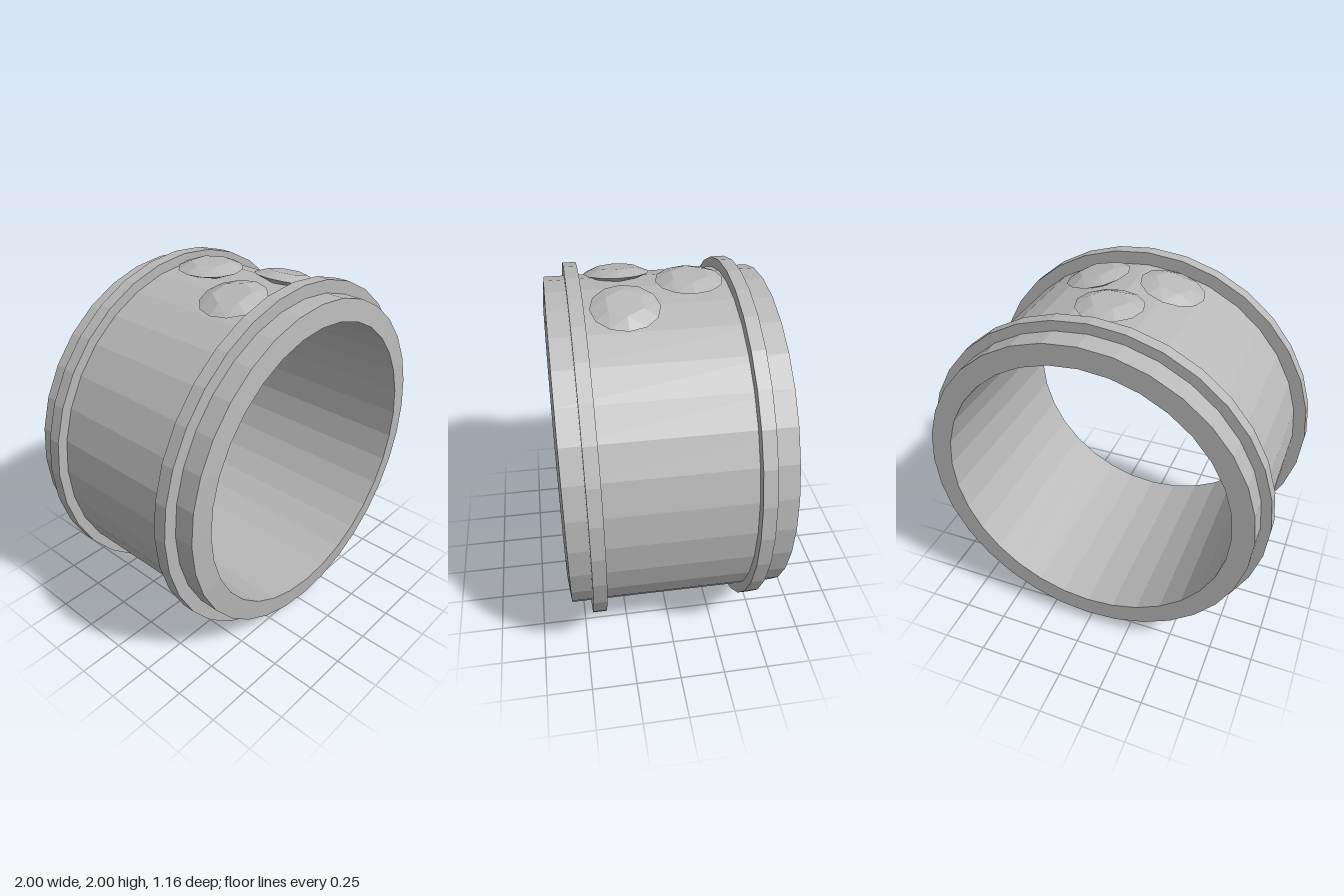
import * as THREE from 'three';
import { ConvexGeometry } from 'three/addons/geometries/ConvexGeometry.js';

const SIDES = 32;
const INNER = 0.812;

// Hexagonal table and base joined by a twelve-sided girdle
function gemGeometry() {
  const points = [];
  const ring = (count, radius, y) => {
    for (let i = 0; i < count; i++) {
      const a = (i / count) * Math.PI * 2;
      points.push(new THREE.Vector3(Math.cos(a) * radius, y, Math.sin(a) * radius));
    }
  };
  ring(6, 0.103, 0.032);
  ring(12, 0.178, 0);
  ring(6, 0.103, -0.032);
  return new ConvexGeometry(points);
}

export function createModel() {
  const model = new THREE.Group();
  model.name = 'ring';
  const metal = new THREE.MeshStandardMaterial({ color: 0xb8b8b8, flatShading: true });
  metal.name = 'grey metal';

  // Closed [radius, z] profile turned about the z axis
  const addHoop = (name, profile) => {
    const points = profile.map(([r, z]) => new THREE.Vector2(r, z));
    const geometry = new THREE.LatheGeometry([...points, points[0].clone()], SIDES);
    geometry.rotateX(Math.PI / 2);
    const hoop = new THREE.Mesh(geometry, metal);
    hoop.name = name;
    hoop.position.y = 1;
    model.add(hoop);
  };

  // Band with a slightly sloped front face
  addHoop('band', [[INNER, -0.58], [0.93, -0.58], [0.93, 0.567], [INNER, 0.58]]);
  // Raised rims
  addHoop('frontRim', [[0.9, 0.385], [1, 0.385], [1, 0.457], [0.9, 0.457]]);
  addHoop('backRim', [[0.9, -0.453], [0.985, -0.453], [0.985, -0.38], [0.9, -0.38]]);

  // Three cut stones, the front pair leaning with the band
  const gem = gemGeometry();
  const stones = [
    ['backStone', 0, 1.953, -0.18, 0],
    ['leftStone', 0.212, 1.922, 0.178, -0.24],
    ['rightStone', -0.212, 1.922, 0.178, 0.24],
  ];
  for (const [name, x, y, z, tilt] of stones) {
    const stone = new THREE.Mesh(gem, metal);
    stone.name = name;
    stone.position.set(x, y, z);
    stone.rotation.z = tilt;
    model.add(stone);
  }
  return model;
}
